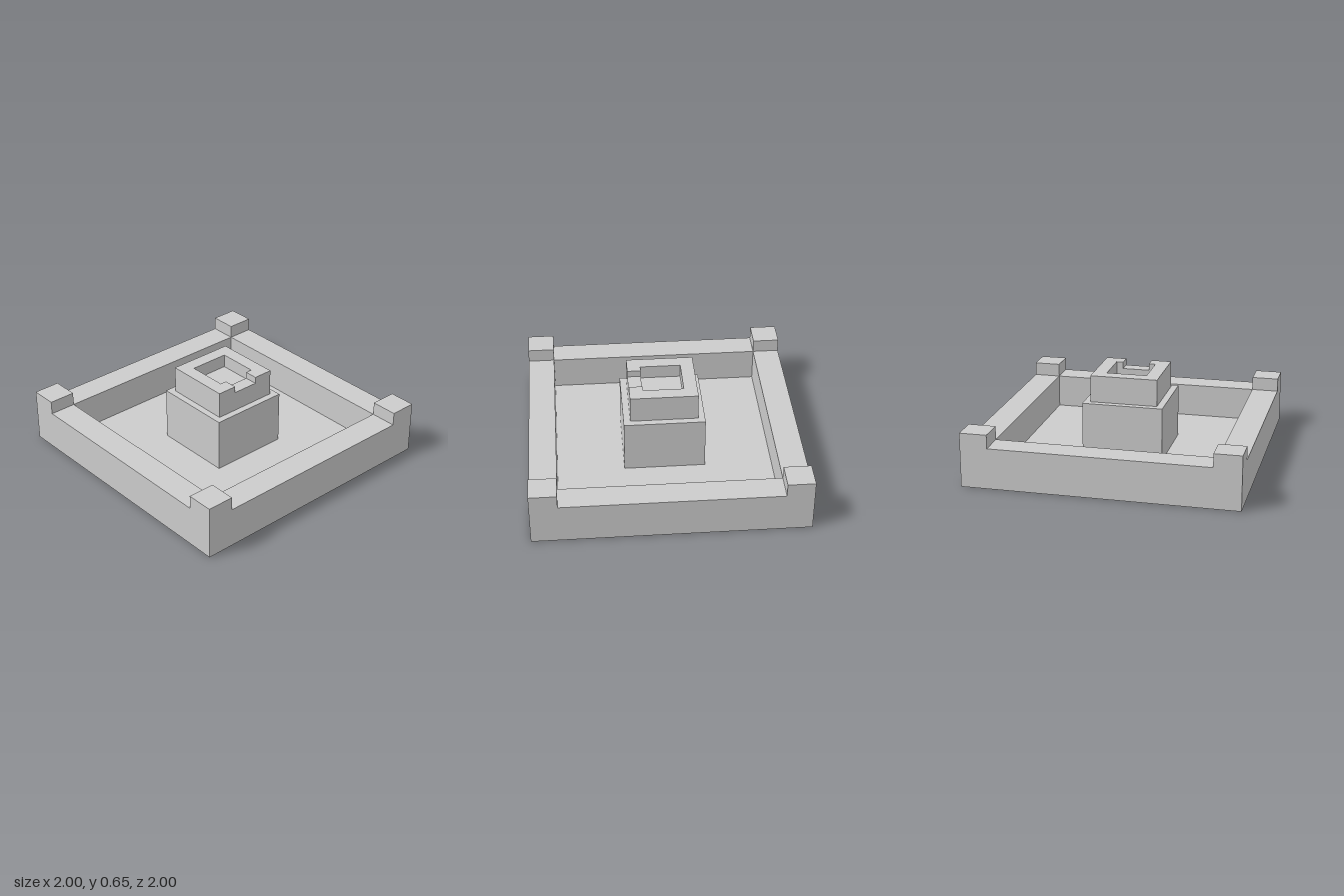
import * as THREE from 'three';

const material = new THREE.MeshStandardMaterial({ color: 0xcccccc, flatShading: true });

function add(group, name, geometry, x = 0, y = 0, z = 0) {
  const mesh = new THREE.Mesh(geometry, material);
  mesh.name = name;
  mesh.position.set(x, y, z);
  group.add(mesh);
}

// Box standing on height y
function addBlock(group, name, w, h, d, x, y, z) {
  add(group, name, new THREE.BoxGeometry(w, h, d), x, y + h / 2, z);
}

const corners = (r) => [[-r, -r], [r, -r], [r, r], [-r, r]].map(([x, y]) => new THREE.Vector2(x, y));

// Plan outline (x, -z) raised by h
function raise(shape, h) {
  return new THREE.ExtrudeGeometry(shape, { depth: h, bevelEnabled: false }).rotateX(-Math.PI / 2);
}

function squareRing(outer, inner, h) {
  const shape = new THREE.Shape(corners(outer));
  shape.holes.push(new THREE.Path(corners(inner)));
  return raise(shape, h);
}

export function createModel() {
  const model = new THREE.Group();
  model.name = 'fountain';

  // Basin: thin floor, surrounding wall and corner posts
  addBlock(model, 'basinFloor', 2, 0.05, 2, 0, 0, 0);
  add(model, 'basinWall', squareRing(1, 0.8, 0.25), 0, 0.05, 0);
  for (const x of [-0.9, 0.9]) {
    for (const z of [-0.9, 0.9]) addBlock(model, 'cornerPost', 0.2, 0.1, 0.2, x, 0.3, z);
  }

  // Central pedestal
  addBlock(model, 'pedestal', 0.6, 0.4, 0.6, 0, 0.05, 0);

  // Upper bowl with a square recess and a spout notch through its front rim
  const bowl = new THREE.Group();
  bowl.name = 'upperBowl';
  addBlock(bowl, 'bowlBase', 0.5, 0.1, 0.5, 0, 0.45, 0);
  add(bowl, 'bowlWall', squareRing(0.25, 0.15, 0.05), 0, 0.55, 0);
  const rim = new THREE.Shape([
    [-0.25, -0.25], [-0.1, -0.25], [-0.1, -0.15], [-0.15, -0.15], [-0.15, 0.15], [0.15, 0.15],
    [0.15, -0.15], [0.1, -0.15], [0.1, -0.25], [0.25, -0.25], [0.25, 0.25], [-0.25, 0.25],
  ].map(([x, y]) => new THREE.Vector2(x, y)));
  add(bowl, 'notchedRim', raise(rim, 0.05), 0, 0.6, 0);
  model.add(bowl);

  return model;
}
